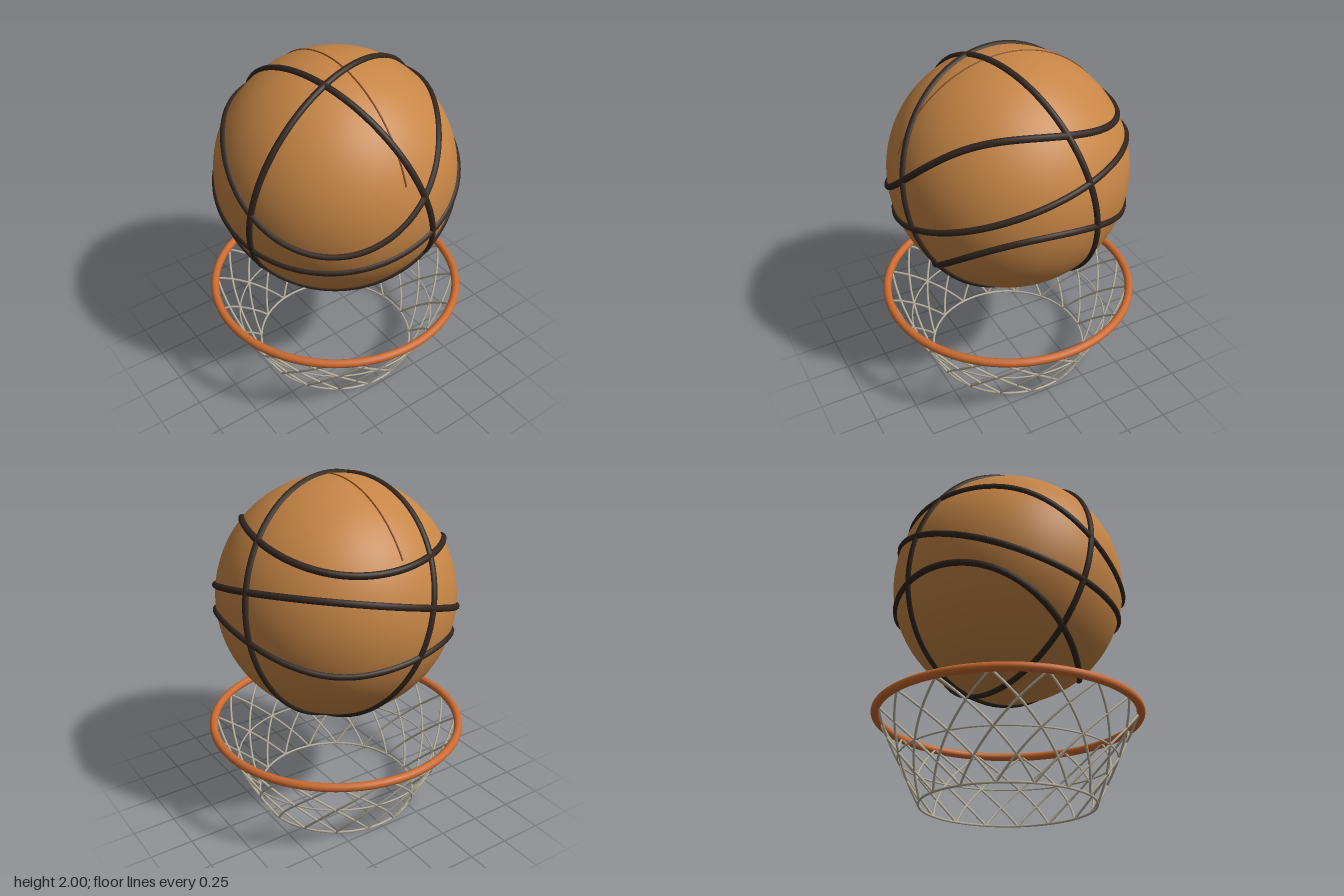
import * as THREE from 'three';

const flat = (name, color) => {
  const m = new THREE.MeshStandardMaterial({ color });
  m.name = name;
  return m;
};

// Smooth tube through the points of f(t), t from 0 to 1
function tube(name, f, steps, radius, sides, closed, material) {
  const points = [];
  const count = closed ? steps : steps + 1;
  for (let i = 0; i < count; i++) points.push(f(i / steps));
  const curve = new THREE.CatmullRomCurve3(points, closed);
  const mesh = new THREE.Mesh(new THREE.TubeGeometry(curve, steps * 2, radius, sides, closed), material);
  mesh.name = name;
  return mesh;
}

function ring(name, radius, thickness, y, sides, material) {
  const mesh = new THREE.Mesh(new THREE.TorusGeometry(radius, thickness, sides, 96), material);
  mesh.rotation.x = Math.PI / 2;
  mesh.position.y = y;
  mesh.name = name;
  return mesh;
}

export function createModel() {
  const leather = flat('orange leather', 0xc68545);
  const seamMat = flat('dark seam', 0x33261e);
  const lineMat = flat('brown line', 0x84451f);
  const rimMat = flat('orange rim', 0xcb6a30);
  const cord = flat('net cord', 0xb5af9c);

  const model = new THREE.Group();
  model.name = 'ballAndHoop';

  // Ball
  const R = 0.68, centre = 1.31;
  const ball = new THREE.Group();
  ball.name = 'ball';
  ball.position.y = centre;
  const sphere = new THREE.Mesh(new THREE.SphereGeometry(R, 96, 64), leather);
  sphere.name = 'ballSurface';
  ball.add(sphere);

  // Seams: three great circles and two waving bands, tilted together
  const seams = new THREE.Group();
  seams.name = 'seams';
  seams.rotation.set(0.31, 0.19, -0.23);
  const turns = [[Math.PI / 2, 0], [0, 0], [0, Math.PI / 2]];
  for (const [rx, ry] of turns) {
    const circle = new THREE.Mesh(new THREE.TorusGeometry(R, 0.019, 10, 128), seamMat);
    circle.rotation.set(rx, ry, 0);
    circle.name = 'straightSeam';
    seams.add(circle);
  }
  for (const side of [1, -1]) {
    seams.add(tube('curvedSeam', t => {
      const az = t * Math.PI * 2;
      const lat = side * 0.4 - 0.2 * Math.sin(2 * az);
      return new THREE.Vector3(
        Math.cos(lat) * Math.sin(az), Math.sin(lat), Math.cos(lat) * Math.cos(az)
      ).multiplyScalar(R);
    }, 72, 0.019, 10, true, seamMat));
  }
  ball.add(seams);

  // Fine line over the top of the ball
  const line = new THREE.Mesh(new THREE.TorusGeometry(R, 0.005, 6, 64, 2.2), lineMat);
  line.rotation.z = 0.36;
  line.position.z = 0.022;
  line.name = 'fineLine';
  ball.add(line);
  model.add(ball);

  // Rim
  model.add(ring('rim', 0.738, 0.024, 0.505, 16, rimMat));

  // Net: strands twisting both ways round a cone, with two hoops of cord
  const net = new THREE.Group();
  net.name = 'net';
  const top = 0.5, bottom = 0.007, topR = 0.725, bottomR = 0.48;
  const strands = 16, step = Math.PI * 2 / strands;
  for (let i = 0; i < strands; i++) {
    for (const dir of [1, -1]) {
      net.add(tube('netStrand', t => {
        const a = (i + 0.5) * step + dir * t * step * 2;
        const r = THREE.MathUtils.lerp(topR, bottomR, t);
        return new THREE.Vector3(r * Math.sin(a), THREE.MathUtils.lerp(top, bottom, t), r * Math.cos(a));
      }, 10, 0.007, 6, false, cord));
    }
  }
  net.add(ring('netMiddleRing', 0.602, 0.005, 0.255, 6, cord));
  net.add(ring('netBottomRing', bottomR, 0.007, bottom, 6, cord));
  model.add(net);

  return model;
}
